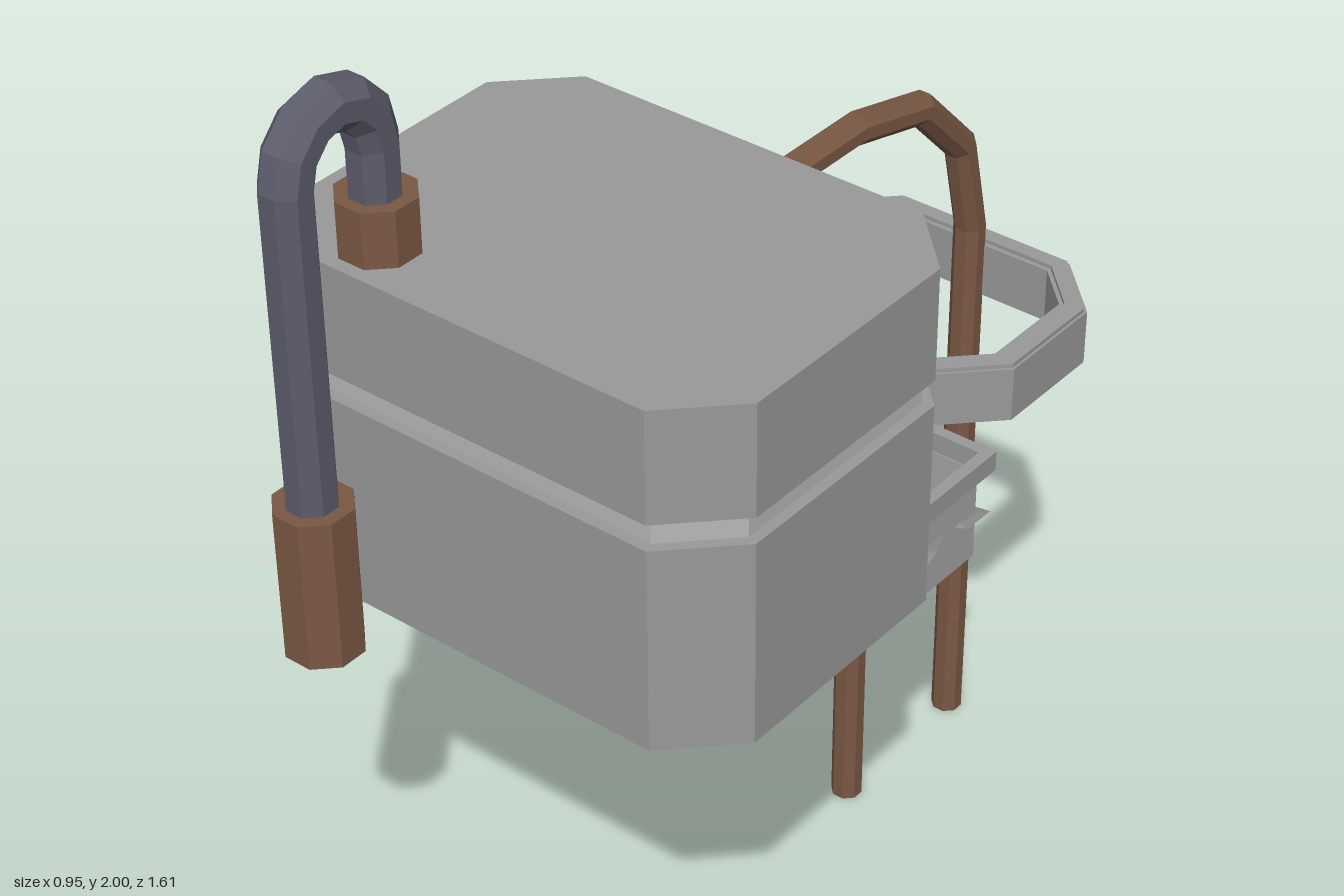
import * as THREE from 'three';

const mat = (color) => new THREE.MeshStandardMaterial({ color, flatShading: true, side: THREE.DoubleSide });

// Chamfered rectangle in plan: half width w, z from z0 to z1, corner cut c
function plan(w, z0, z1, c, Type = THREE.Shape) {
  const pts = c
    ? [[w - c, z0], [w, z0 + c], [w, z1 - c], [w - c, z1], [c - w, z1], [-w, z1 - c], [-w, z0 + c], [c - w, z0]]
    : [[w, z0], [w, z1], [-w, z1], [-w, z0]];
  return new Type(pts.map(([x, z]) => new THREE.Vector2(x, -z)));
}

// Upright prism of a plan shape, from y0 to y1, with an optional hole
function prism(shape, y0, y1, hole) {
  if (hole) shape.holes.push(hole);
  const g = new THREE.ExtrudeGeometry(shape, { depth: y1 - y0, bevelEnabled: false });
  return g.rotateX(-Math.PI / 2).translate(0, y0, 0);
}

// Mitred eight-sided pipe along [z, y] points in the plane at x
function pipe(points, r, x = 0, sides = 8) {
  const p = points.map(([z, y]) => new THREE.Vector2(z, y));
  const pos = [], idx = [];
  p.forEach((q, i) => {
    const a = q.clone().sub(p[Math.max(i - 1, 0)]).normalize();
    const b = p[Math.min(i + 1, p.length - 1)].clone().sub(q).normalize();
    const t = a.clone().add(b).normalize();
    const k = 1 / t.dot(i ? a : b);
    for (let j = 0; j < sides; j++) {
      const f = (j + 0.5) / sides * Math.PI * 2;
      const s = r * Math.sin(f) * k;
      pos.push(x + r * Math.cos(f), q.y + t.x * s, q.x - t.y * s);
    }
  });
  for (let i = 0; i < p.length - 1; i++) {
    for (let j = 0; j < sides; j++) {
      const a = i * sides + j, b = i * sides + (j + 1) % sides;
      idx.push(a, a + sides, b, b, a + sides, b + sides);
    }
  }
  const last = (p.length - 1) * sides;
  for (let j = 1; j < sides - 1; j++) idx.push(0, j, j + 1, last, last + j + 1, last + j);
  const g = new THREE.BufferGeometry();
  g.setAttribute('position', new THREE.Float32BufferAttribute(pos, 3));
  g.setIndex(idx);
  const flat = g.toNonIndexed();
  flat.computeVertexNormals();
  return flat;
}

export function createModel() {
  const model = new THREE.Group();
  const grey = mat(0x999999), pale = mat(0xb8b8b8), trayGrey = mat(0xa4a4a4), rubbleGrey = mat(0x8c8c8c);
  const brown = mat(0x7a5844), steel = mat(0x5c5c6c);
  const add = (name, geometry, material = grey) => {
    const m = new THREE.Mesh(geometry, material);
    m.name = name;
    model.add(m);
    return m;
  };

  // Main housing: lower case, recessed paler seam, upper case
  add('lowerCase', prism(plan(0.475, -0.07, 0.64, 0.12), 0.99, 1.39));
  add('seam', prism(plan(0.455, -0.05, 0.62, 0.107), 1.385, 1.445), pale);
  add('upperCase', prism(plan(0.475, -0.07, 0.64, 0.12), 1.44, 1.653));

  // Tray under the housing: base, thin walls, rim
  add('trayBase', prism(plan(0.33, -0.31, 0.17, 0), 0.8, 0.88), trayGrey);
  add('trayWalls', prism(plan(0.33, -0.31, 0.17, 0), 0.88, 0.99, plan(0.326, -0.306, 0.166, 0, THREE.Path)), trayGrey);
  add('trayRim', prism(plan(0.355, -0.33, -0.07, 0), 0.99, 1.03, plan(0.332, -0.308, -0.095, 0, THREE.Path)));

  // Crumpled layer of rubble filling the tray and poking out of its sides
  let seed = 7;
  const rand = () => (seed = (seed * 16807) % 2147483647) / 2147483647 - 0.5;
  const rubble = new THREE.PlaneGeometry(0.7, 0.53, 11, 8).rotateX(-Math.PI / 2);
  const v = rubble.attributes.position;
  for (let i = 0; i < v.count; i++) {
    v.setXYZ(i, v.getX(i) + rand() * 0.04, 0.9 + rand() * 0.035, v.getZ(i) - 0.067 + rand() * 0.035);
  }
  add('rubble', rubble.toNonIndexed(), rubbleGrey);

  // Loose stones
  [[-0.22, -0.14, 0.4], [0.14, -0.16, 0.9], [-0.01, -0.19, 0.2], [-0.25, -0.285, 0.6]].forEach(([x, z, a]) => {
    const s = add('stone', new THREE.BoxGeometry(0.055, 0.05, 0.055), rubbleGrey);
    s.position.set(x, 0.93, z);
    s.rotation.set(a, a * 2, 0.3);
  });

  // Octagonal ring behind the tray, with a thin raised lip
  add('ring', prism(plan(0.305, -0.8, -0.335, 0.115), 1.01, 1.12, plan(0.25, -0.755, -0.385, 0.08, THREE.Path)));
  add('ringLip', prism(plan(0.3, -0.795, -0.34, 0.113), 1.12, 1.128, plan(0.262, -0.764, -0.376, 0.09, THREE.Path)));

  // Long pipe from the housing down to the ground, and the short hooked pipe
  add('longPipe', pipe([[-0.06, 1.54], [-0.37, 1.54], [-0.565, 1.493], [-0.7, 1.355], [-0.745, 1.165], [-0.745, 0]], 0.031), brown);
  add('hookedPipe', pipe([[-0.285, 0.765], [-0.285, 1.165], [-0.293, 1.178], [-0.31, 1.185],
    [-0.375, 1.185], [-0.392, 1.178], [-0.4, 1.165], [-0.4, 0]], 0.031), brown);

  // Star-shaped flange where the long pipe meets the housing
  const star = new THREE.Shape(Array.from({ length: 16 }, (_, i) => {
    const a = (i + 0.5) / 16 * Math.PI * 2, r = i % 4 === 1 || i % 4 === 2 ? 0.082 : 0.05;
    return new THREE.Vector2(r * Math.cos(a), r * Math.sin(a));
  }));
  const flange = add('flange', new THREE.ExtrudeGeometry(star, {
    depth: 0.012, bevelThickness: 0.008, bevelSize: 0.006, bevelOffset: -0.006, bevelSegments: 1,
  }), brown);
  flange.position.set(0, 1.54, -0.082);

  // Bent tube over the front edge, with a collar at each end
  const bend = [[0.742, 1.1]];
  for (let i = 0; i <= 6; i++) {
    const a = i / 6 * Math.PI;
    bend.push([0.646 + 0.096 * Math.cos(a), 1.853 + 0.103 * Math.sin(a)]);
  }
  bend.push([0.55, 1.66]);
  add('bentTube', pipe(bend, 0.046, -0.262), steel);
  [['lowerCollar', 0.74, 0.965, 1.26], ['upperCollar', 0.548, 1.65, 1.757]].forEach(([name, z, y0, y1]) => {
    const c = add(name, new THREE.CylinderGeometry(0.072, 0.072, y1 - y0, 8), brown);
    c.position.set(-0.262, (y0 + y1) / 2, z);
    c.rotation.y = Math.PI / 8;
  });

  return model;
}
